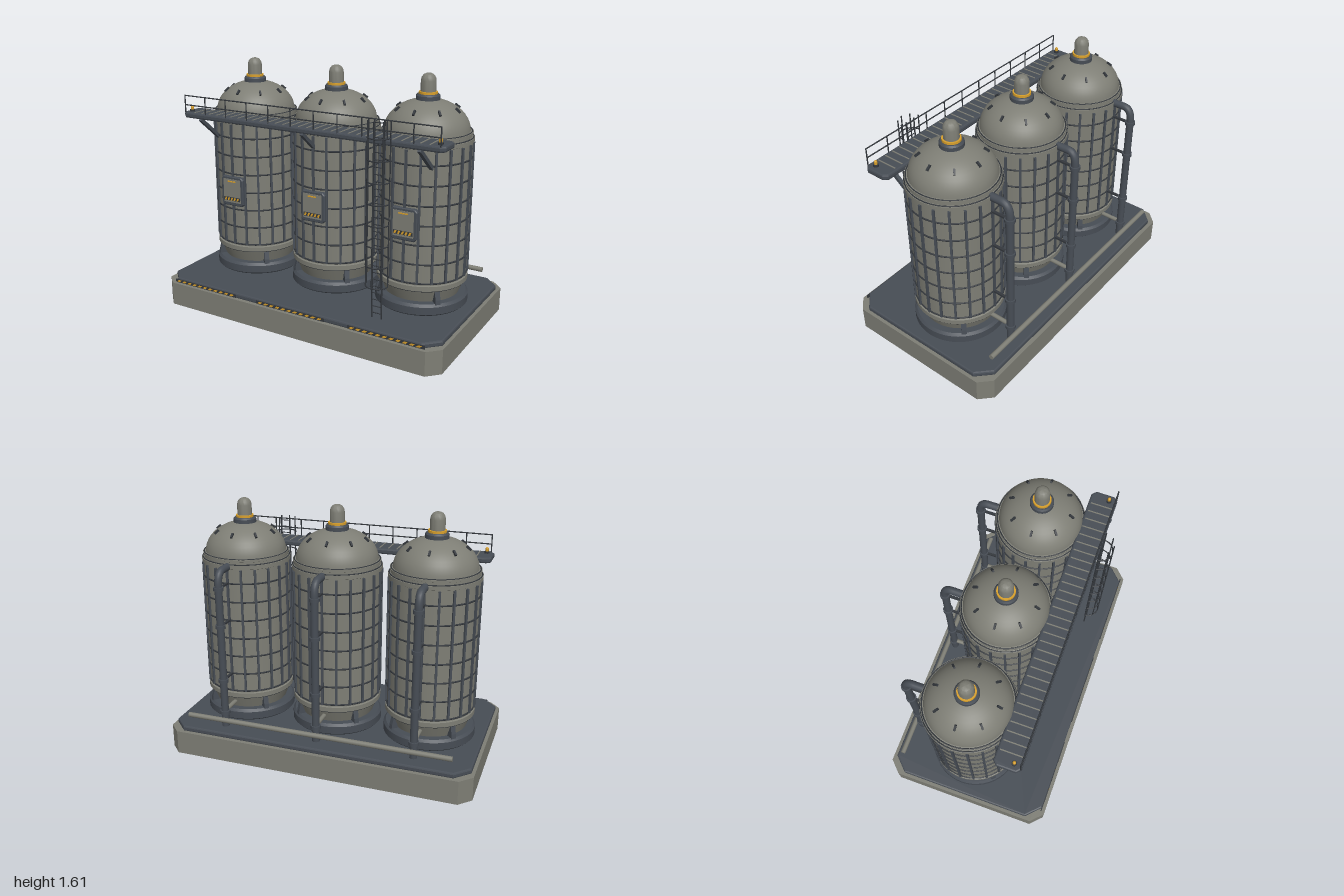
import * as THREE from 'three';
import { mergeGeometries, toCreasedNormals } from 'three/addons/utils/BufferGeometryUtils.js';

const flat = (name, color) => {
  const m = new THREE.MeshStandardMaterial({ color });
  m.name = name;
  return m;
};
const V = (x, y, z) => new THREE.Vector3(x, y, z);

// Rod between two points
function rodGeo(a, b, r, sides = 8) {
  const dir = b.clone().sub(a);
  const g = new THREE.CylinderGeometry(r, r, dir.length(), sides);
  g.applyQuaternion(new THREE.Quaternion().setFromUnitVectors(V(0, 1, 0), dir.normalize()));
  const c = a.clone().add(b).multiplyScalar(0.5);
  return g.translate(c.x, c.y, c.z);
}
const box = (w, h, d, x = 0, y = 0, z = 0) => new THREE.BoxGeometry(w, h, d).translate(x, y, z);
const cyl = (r, h, x, y, z, sides = 20) => new THREE.CylinderGeometry(r, r, h, sides).translate(x, y, z);

// Revolved profile with crisp edges
function lathe(pts, segs = 48) {
  const g = new THREE.LatheGeometry(pts.map(p => new THREE.Vector2(p[0], p[1])), segs);
  return toCreasedNormals(g, 0.5);
}

// Rectangle outline with cut corners
function cutRect(hx, hy, c) {
  return new THREE.Shape([[hx - c, -hy], [hx, -hy + c], [hx, hy - c], [hx - c, hy],
    [-hx + c, hy], [-hx, hy - c], [-hx, -hy + c], [-hx + c, -hy]].map(p => new THREE.Vector2(...p)));
}

// Horizontal slab extruded upward from y0 to y1, with optional bevel
function slab(hx, hz, cut, y0, y1, bevel) {
  const g = new THREE.ExtrudeGeometry(cutRect(hx - bevel, hz - bevel, cut), {
    depth: y1 - y0 - 2 * bevel, bevelEnabled: bevel > 0, bevelSize: bevel, bevelThickness: bevel, bevelSegments: 2 });
  return g.rotateX(-Math.PI / 2).translate(0, y0 + bevel, 0);
}

// Row of slanted warning stripes facing +z
function stripes(width, h, n, x, y, z) {
  const step = width / n, parts = [];
  for (let i = 0; i < n; i++) {
    const l = -width / 2 + i * step, s = step * 0.35, w = step * 0.55;
    parts.push(new THREE.ShapeGeometry(new THREE.Shape([
      new THREE.Vector2(l, -h / 2), new THREE.Vector2(l + w, -h / 2),
      new THREE.Vector2(l + w + s, h / 2), new THREE.Vector2(l + s, h / 2)])));
  }
  return mergeGeometries(parts).translate(x, y, z);
}

export function createModel() {
  const grey = flat('weathered grey', 0x7e7e75);
  const slate = flat('slate steel', 0x474d55);
  const dark = flat('dark steel', 0x34383d);
  const gold = flat('warning yellow', 0xd8a02c);
  const model = new THREE.Group();
  model.name = 'tankStation';
  const add = (parent, name, geo, mat) => {
    const m = new THREE.Mesh(Array.isArray(geo)
      ? mergeGeometries(geo.map(g => (g.index ? g.toNonIndexed() : g))) : geo, mat);
    m.name = name;
    parent.add(m);
  };

  // Foundation
  add(model, 'foundation', slab(1, 0.555, 0.075, 0, 0.155, 0), grey);
  add(model, 'deckPlate', slab(0.98, 0.53, 0.085, 0.15, 0.187, 0.01), slate);
  for (const x of [-0.66, 0, 0.66]) {
    add(model, 'deckWarningPlate', box(0.5, 0.022, 0.006, x, 0.167, 0.531), dark);
    add(model, 'deckWarningStripes', stripes(0.48, 0.014, 11, x, 0.167, 0.5345), gold);
  }

  // One tank, built around its own axis
  function makeTank() {
    const t = new THREE.Group();
    t.name = 'tank';
    add(t, 'footRing', lathe([[0.2, 0.186], [0.282, 0.186], [0.292, 0.196], [0.292, 0.244],
      [0.278, 0.26], [0.2, 0.26]]), slate);
    const profile = [[0.235, 0.255], [0.268, 0.342], [0.284, 0.346], [0.284, 0.376], [0.275, 0.38],
      [0.275, 1.212], [0.284, 1.216], [0.284, 1.24], [0.27, 1.244], [0.27, 1.258], [0.275, 1.26],
      [0.275, 1.274], [0.258, 1.276]];
    for (let i = 1; i <= 12; i++) {
      const a = i / 12 * Math.PI / 2;
      profile.push([Math.max(0.258 * Math.cos(a), 0.0001), 1.27 + 0.192 * Math.sin(a)]);
    }
    add(t, 'shell', lathe(profile, 56), grey);

    // Cage of ribs and hoops around the shell
    const ribs = [], hoops = [], lugs = [], gussets = [];
    for (let i = 0; i < 20; i++)
      ribs.push(box(0.014, 0.82, 0.014, 0, 0.8, 0.28).rotateY(i * Math.PI / 10));
    for (let i = 0; i < 7; i++)
      hoops.push(new THREE.TorusGeometry(0.277, 0.0055, 6, 48).rotateX(Math.PI / 2).translate(0, 0.392 + i * 0.1215, 0));
    for (const [r, y] of [[0.278, 0.344], [0.278, 1.243], [0.268, 1.275]])
      hoops.push(new THREE.TorusGeometry(r, 0.004, 6, 48).rotateX(Math.PI / 2).translate(0, y, 0));
    // Dome lugs and foot gussets
    for (let i = 0; i < 8; i++)
      lugs.push(box(0.012, 0.014, 0.036).rotateX(0.7).translate(0, 1.405, 0.19).rotateY(i * Math.PI / 4));
    const gusset = new THREE.Shape([[0.22, 0.255], [0.285, 0.255], [0.282, 0.285], [0.27, 0.335], [0.25, 0.335]]
      .map(p => new THREE.Vector2(...p)));
    for (let i = 0; i < 4; i++)
      gussets.push(new THREE.ExtrudeGeometry(gusset, { depth: 0.032, bevelEnabled: false })
        .translate(0, 0, -0.016).rotateY(Math.PI / 4 + i * Math.PI / 2));
    add(t, 'shellRibs', ribs, slate);
    add(t, 'shellHoops', hoops, dark);
    add(t, 'domeLugs', lugs, dark);
    add(t, 'footGussets', gussets, slate);

    // Top vent
    add(t, 'ventCollar', lathe([[0.072, 1.44], [0.072, 1.478], [0.064, 1.488], [0.0001, 1.488]], 32), slate);
    add(t, 'ventBand', cyl(0.056, 0.014, 0, 1.495, 0, 32), gold);
    add(t, 'ventCap', lathe([[0.046, 1.49], [0.046, 1.565], [0.042, 1.585], [0.03, 1.601], [0.015, 1.608],
      [0.0001, 1.61]], 28), grey);

    // Control panel
    const panel = new THREE.ExtrudeGeometry(cutRect(0.082, 0.095, 0.014), {
      depth: 0.06, bevelEnabled: true, bevelSize: 0.005, bevelThickness: 0.005, bevelSegments: 1 });
    add(t, 'panelFrame', panel.translate(0, 0.762, 0.228), slate);
    add(t, 'panelDoor', box(0.134, 0.16, 0.008, 0, 0.765, 0.292), grey);
    add(t, 'panelWarningPlate', box(0.126, 0.024, 0.003, 0, 0.71, 0.297), dark);
    add(t, 'panelWarningStripes', stripes(0.12, 0.02, 5, 0, 0.71, 0.2995), gold);
    add(t, 'panelLabel', box(0.06, 0.007, 0.007, 0, 0.83, 0.298), gold);

    // Rear downpipe
    const path = new THREE.CurvePath();
    path.add(new THREE.LineCurve3(V(0, 1.228, -0.25), V(0, 1.228, -0.345)));
    path.add(new THREE.QuadraticBezierCurve3(V(0, 1.228, -0.345), V(0, 1.228, -0.402), V(0, 1.14, -0.402)));
    path.add(new THREE.LineCurve3(V(0, 1.14, -0.402), V(0, 0.2, -0.402)));
    add(t, 'downpipe', new THREE.TubeGeometry(path, 90, 0.024, 16), slate);
    add(t, 'downpipeEnd', cyl(0.024, 0.004, 0, 0.2, -0.402, 16), slate);
    const collars = [], stays = [];
    for (const y of [1.125, 0.88, 0.515, 0.295]) {
      collars.push(cyl(0.032, 0.022, 0, y, -0.402));
      if (y > 0.3) stays.push(box(0.016, 0.012, 0.13, 0, y, -0.335));
    }
    add(t, 'pipeCollars', collars, slate);
    add(t, 'pipeStays', stays, dark);
    add(t, 'valve', lathe([[0.024, 0.325], [0.036, 0.33], [0.036, 0.357], [0.024, 0.362]], 20), gold);
    add(t, 'drainPipe', rodGeo(V(0, 0.302, -0.22), V(0, 0.302, -0.4), 0.014, 12), grey);
    return t;
  }
  for (const x of [-0.625, 0, 0.625]) {
    const t = makeTank();
    t.position.set(x, 0, -0.04);
    model.add(t);
  }

  // Rear header pipe
  add(model, 'headerPipe', rodGeo(V(-0.87, 0.255, -0.485), V(0.865, 0.255, -0.485), 0.016, 16), grey);

  // Walkway with grating, railing, struts and beacons
  const walk = new THREE.Group();
  walk.name = 'walkway';
  model.add(walk);
  add(walk, 'walkwayDeck', slab(0.912, 0.084, 0.02, 1.252, 1.288, 0.01).translate(0, 0, 0.288), slate);
  const slats = [], rails = [], struts = [], beaconBases = [], beacons = [];
  for (let i = 0; i < 30; i++) slats.push(box(0.007, 0.005, 0.136, -0.82 + i * 1.64 / 29, 1.289, 0.288));
  for (let i = 0; i <= 11; i++) {
    const x = -0.888 + i * 1.776 / 11;
    rails.push(rodGeo(V(x, 1.28, 0.366), V(x, 1.397, 0.366), 0.004, 6));
  }
  for (const y of [1.337, 1.397]) rails.push(rodGeo(V(-0.89, y, 0.366), V(0.89, y, 0.366), 0.004, 6));
  for (const x of [-0.765, 0, 0.765])
    struts.push(box(0.022, 0.022, 0.23).rotateX(-0.69).translate(x, 1.18, 0.28));
  for (const x of [-0.868, 0.868]) {
    beaconBases.push(cyl(0.016, 0.014, x, 1.294, 0.322, 12));
    beacons.push(new THREE.CapsuleGeometry(0.01, 0.014, 4, 12).translate(x, 1.31, 0.322));
  }
  add(walk, 'walkwaySlats', slats, grey);
  add(walk, 'railing', rails, dark);
  add(walk, 'walkwayStruts', struts, slate);
  add(walk, 'beaconBases', beaconBases, dark);
  add(walk, 'beacons', beacons, gold);

  // Caged ladder
  const lx = 0.525, lz = 0.38, ladder = [], cage = [];
  for (const s of [-1, 1]) ladder.push(rodGeo(V(lx + s * 0.032, 0.185, lz), V(lx + s * 0.032, 1.4, lz), 0.0045, 6));
  for (let y = 0.22; y < 1.39; y += 0.043) ladder.push(rodGeo(V(lx - 0.032, y, lz), V(lx + 0.032, y, lz), 0.003, 6));
  for (let i = 0; i < 8; i++)
    cage.push(new THREE.TorusGeometry(0.07, 0.004, 6, 16, Math.PI).rotateX(Math.PI / 2).translate(lx, 0.405 + i * 0.128, lz));
  for (let i = 0; i < 5; i++) {
    const a = i * Math.PI / 4, x = lx + 0.07 * Math.cos(a), z = lz + 0.07 * Math.sin(a);
    cage.push(rodGeo(V(x, 0.402, z), V(x, 1.4, z), 0.004, 6));
  }
  add(model, 'ladder', ladder, dark);
  add(model, 'ladderCage', cage, dark);
  return model;
}
